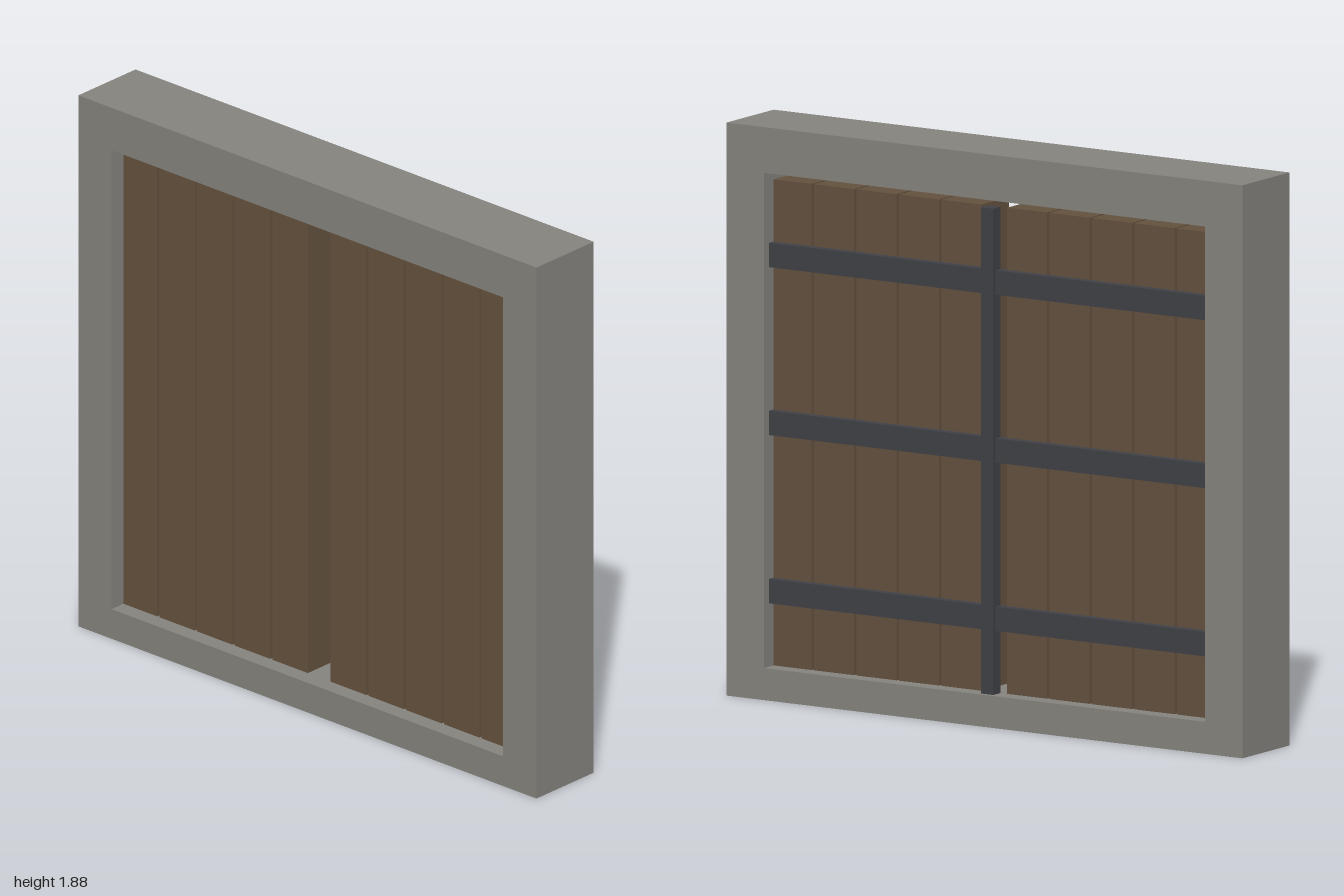
import * as THREE from 'three';

const stone = new THREE.MeshStandardMaterial({ color: 0x84837d });
const wood = new THREE.MeshStandardMaterial({ color: 0x64513e });
const iron = new THREE.MeshStandardMaterial({ color: 0x404146 });

// Box given by its min and max corners
function box(name, material, [x0, y0, z0], [x1, y1, z1]) {
  const mesh = new THREE.Mesh(new THREE.BoxGeometry(x1 - x0, y1 - y0, z1 - z0), material);
  mesh.position.set((x0 + x1) / 2, (y0 + y1) / 2, (z0 + z1) / 2);
  mesh.name = name;
  return mesh;
}

function rectangle(path, x0, y0, x1, y1) {
  return path.moveTo(x0, y0).lineTo(x1, y0).lineTo(x1, y1).lineTo(x0, y1).closePath();
}

export function createModel() {
  const model = new THREE.Group();
  model.name = 'gate';
  const depth = 0.274, sill = 0.105, top = 1.70;

  // Stone surround with a rectangular opening
  const outline = rectangle(new THREE.Shape(), -1, 0, 1, 1.88);
  outline.holes.push(rectangle(new THREE.Path(), -0.855, sill, 0.855, 1.73));
  const frameGeometry = new THREE.ExtrudeGeometry(outline, { depth, bevelEnabled: false });
  frameGeometry.translate(0, 0, -depth / 2);
  const frame = new THREE.Mesh(frameGeometry, stone);
  frame.name = 'frame';
  model.add(frame);

  // Two mirrored leaves of five thick planks, the outer ones let into the jambs
  const plankWidth = 0.155, pitch = 0.1645;
  for (const side of [-1, 1]) {
    const leaf = new THREE.Group();
    leaf.name = side > 0 ? 'leftLeaf' : 'rightLeaf';
    for (let i = 0; i < 5; i++) {
      const inner = 0.05 + i * pitch, outer = inner + plankWidth;
      const x0 = side > 0 ? inner : -outer;
      leaf.add(box('plank', wood, [x0, sill, -0.08], [x0 + plankWidth, top, 0.08]));
    }
    model.add(leaf);
  }

  // Iron straps across the back
  for (const y of [0.353, 0.905, 1.456]) {
    model.add(box('strap', iron, [-0.86, y - 0.04, -0.108], [0.86, y + 0.04, -0.078]));
  }

  // Upright locking bar over the centre gap
  model.add(box('centreBar', iron, [-0.024, sill, -0.122], [0.024, top, -0.08]));

  return model;
}
